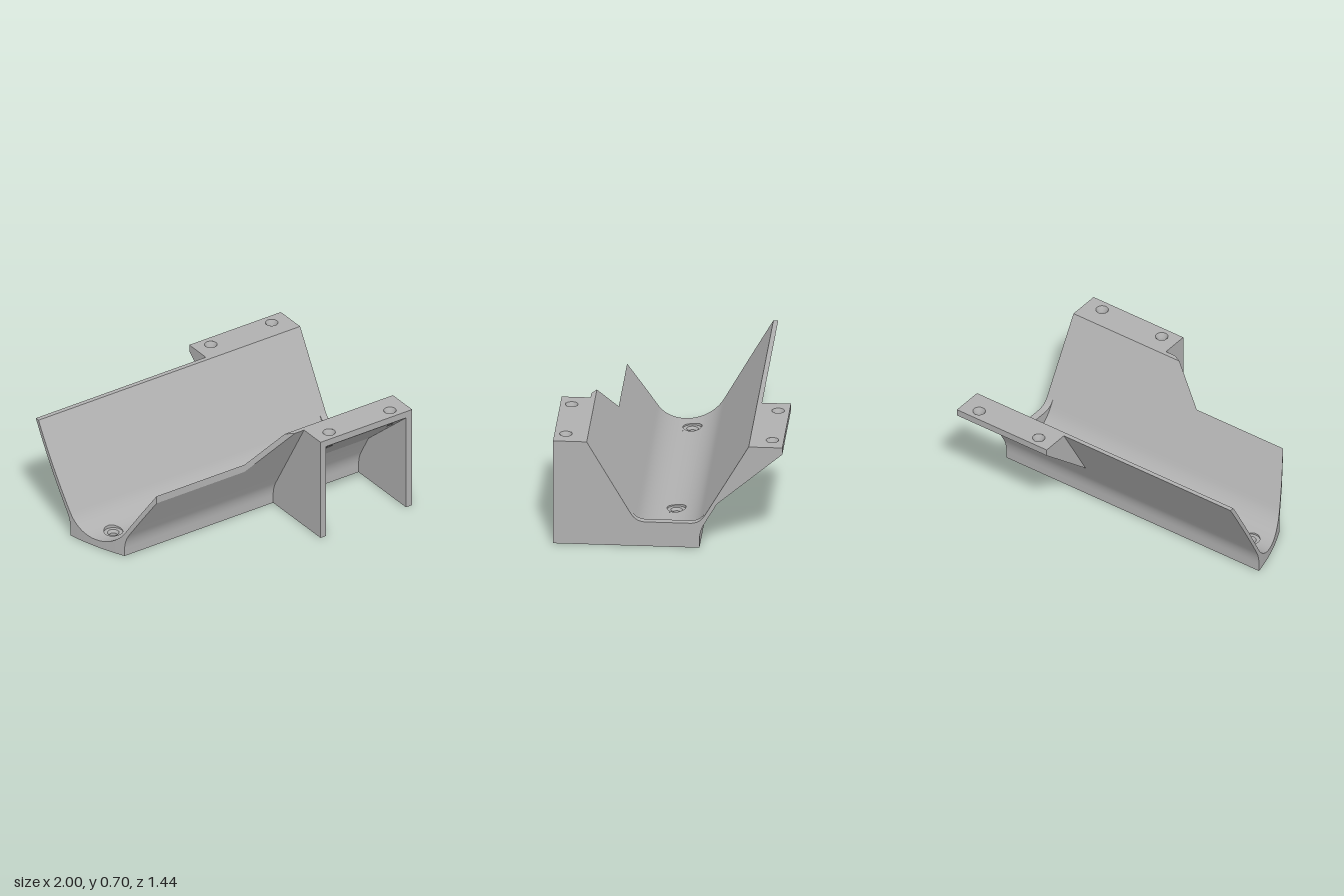
import * as THREE from 'three';
import { toCreasedNormals } from 'three/addons/utils/BufferGeometryUtils.js';

const EPS = 1e-5, SLOPE = Math.sqrt(3);
const grey = new THREE.MeshStandardMaterial({ color: 0xb0b0b0, side: THREE.DoubleSide });
grey.name = 'grey plastic';

// Trough section as heights over z: inner (top) and outer (bottom) surface
function top(z) {
  const a = Math.abs(z);
  if (a <= 0.2018) return 0.283 - Math.sqrt(0.233 ** 2 - a * a);
  return Math.min(0.7, 0.7 - (0.51 - a) * SLOPE);
}
function bottom(z) {
  const a = Math.abs(z);
  if (a <= 0.2) return 0;
  if (a >= 0.23) return Math.min(0.7, 0.7 - (0.54 - a) * SLOPE);
  const t = Math.sqrt((a - 0.2) / 0.03);
  return 0.051 + 0.12 * t - 0.008 * t * t;
}
// Plan outline of the open end: an arc, then the lowered front rim
function startX(z) {
  if (z > 0.39) return -0.05 + (z - 0.39) / 0.15 * 0.28;
  return 0.57 - Math.sqrt(1.57 ** 2 - (z + 0.5) ** 2);
}
// Underside of the flange wedges
const underside = z => 0.302 + (z - 0.31) * 0.353 / 0.412;

// Joins rows of points into a surface; each row is optionally closed
function surface(rows, closed = true) {
  const n = rows[0].length, index = [];
  for (let i = 0; i < rows.length - 1; i++) {
    for (let k = 0; k < (closed ? n : n - 1); k++) {
      const a = i * n + k, b = i * n + (k + 1) % n;
      index.push(a, a + n, b, b, a + n, b + n);
    }
  }
  const g = new THREE.BufferGeometry();
  g.setAttribute('position', new THREE.Float32BufferAttribute(rows.flat(2), 3));
  g.setIndex(index);
  return toCreasedNormals(g, 0.5);
}

function add(group, geometry, name) {
  const mesh = new THREE.Mesh(geometry, grey);
  mesh.name = name;
  group.add(mesh);
  return mesh;
}

// Solid strip of the trough between two x limits
function trough(stations, x0, x1) {
  return surface(stations.map(z => {
    const a = x0(z), b = x1(z), t = top(z), u = bottom(z);
    return [[a, t, z], [b, t, z], [b, u, z], [a, u, z]];
  }));
}

// Surface through concentric rings; each ring is [radius, height, square?]
function drilled(cx, cz, rings) {
  const n = 32;
  return surface(rings.map(([r, y, square]) => {
    const row = [];
    for (let i = 0; i < n; i++) {
      const c = Math.cos(i / n * Math.PI * 2), s = Math.sin(i / n * Math.PI * 2);
      const k = square ? r / Math.max(Math.abs(c), Math.abs(s)) : r;
      const z = cz + k * s;
      row.push([cx + k * c, typeof y === 'function' ? y(z) : y, z]);
    }
    return row.reverse();
  }));
}

// Rectangular sheet over x and z with round holes, lifted to a height rule
function sheet(x0, x1, z0, z1, holes, r, height, faceUp) {
  const shape = new THREE.Shape([[x0, z0], [x1, z0], [x1, z1], [x0, z1]].map(p => new THREE.Vector2(...p)));
  for (const [x, z] of holes) shape.holes.push(new THREE.Path().absarc(x, z, r, 0, Math.PI * 2, true));
  const g = new THREE.ShapeGeometry(shape, 32);
  const p = g.attributes.position;
  for (let i = 0; i < p.count; i++) p.setXYZ(i, p.getX(i), height(p.getY(i)), p.getY(i));
  if (faceUp) g.setIndex([...g.index.array].reverse());
  g.computeVertexNormals();
  return g;
}

// Upright plate from a (z, y) shape between two x positions
function plate(shape, x0, x1) {
  const g = new THREE.ExtrudeGeometry(shape, { depth: x1 - x0, bevelEnabled: false, curveSegments: 10 });
  return g.rotateY(-Math.PI / 2).translate(x1, 0, 0);
}

function flange() {
  const group = new THREE.Group();
  const holes = [[0.415, 0.65], [0.88, 0.65]];
  add(group, sheet(0.3, 1, 0.535, 0.722, holes, 0.04, () => 0.7, true), 'flangeTop');
  add(group, sheet(0.3, 1, 0.31, 0.722, holes, 0.022, underside, false), 'flangeUnderside');
  add(group, new THREE.PlaneGeometry(0.7, 0.045).translate(0.65, 0.6775, 0.722), 'flangeRim');
  const side = new THREE.Shape([[0.54, 0.7], [0.31, 0.302], [0.722, 0.655], [0.722, 0.7]]
    .map(p => new THREE.Vector2(...p)));
  for (const x of [0.3, 1]) {
    const g = new THREE.ShapeGeometry(side);
    g.rotateY(x === 1 ? -Math.PI / 2 : -Math.PI / 2).translate(x, 0, 0);
    if (x === 1) {
      g.setIndex([...g.index.array].reverse());
      g.computeVertexNormals();
    }
    add(group, g, 'flangeSide');
  }
  // Countersunk screw holes
  for (const [x, z] of holes) {
    add(group, drilled(x, z, [[0.04, 0.7], [0.022, 0.665], [0.022, underside]]), 'flangeHole');
  }
  return group;
}

export function createModel() {
  const model = new THREE.Group();
  model.name = 'troughBracket';

  // Stations across the section, denser on the curves
  const half = [0.2, 0.2 + EPS];
  for (let i = 1; i <= 6; i++) half.push(0.2 + 0.03 * (i / 6) ** 2);
  const outer = [...half, 0.3, 0.39, 0.39 + EPS, 0.45, 0.51, 0.54];
  const steps = (a, b, n) => Array.from({ length: n + 1 }, (_, i) => a + (b - a) * i / n);
  const Z0 = -0.083, Z1 = 0.047, HALF = 0.065, HOLES = [-0.77, 0.51], HZ = -0.018;
  const back = [...outer, 0.48, 0.42, 0.35, 0.26].sort((a, b) => b - a).map(z => -z);
  const end = () => 1;

  // Side walls with the outer parts of the floor
  add(model, trough([...back, ...steps(-0.2, Z0, 8).slice(1)], startX, end), 'backWall');
  add(model, trough([...steps(Z1, 0.2, 10).slice(0, -1), ...outer], startX, end), 'frontWall');

  // Middle of the floor, in lengths between the two drilled patches
  const mid = steps(Z0, Z1, 10);
  const cuts = [startX, ...HOLES.flatMap(x => [() => x - HALF, () => x + HALF]), end];
  for (let i = 0; i < cuts.length; i += 2) add(model, trough(mid, cuts[i], cuts[i + 1]), 'floor');
  for (const x of HOLES) {
    add(model, drilled(x, HZ, [
      [HALF, top, true], [0.06, top], [0.06, 0.042], [0.037, 0.042],
      [0.023, 0.025], [0.023, 0], [HALF, 0, true],
    ]), 'floorHole');
  }

  // Raised sill closing the low part of the end
  const sill = new THREE.Shape();
  sill.moveTo(-0.2, 0).lineTo(0.2, 0).lineTo(0.2, 0.1).lineTo(0.232, 0.219);
  sill.quadraticCurveTo(0.201, 0.165, 0.139, 0.165).lineTo(-0.139, 0.165);
  sill.quadraticCurveTo(-0.201, 0.165, -0.232, 0.219).lineTo(-0.2, 0.1);
  add(model, toCreasedNormals(plate(sill, 0.953, 1), 0.5), 'endSill');

  // Two support plates under the front flange
  const support = new THREE.Shape([[0.19, 0], [0.722, 0], [0.722, 0.7], [0.53, 0.7], [0.23, 0.18], [0.19, 0.1]]
    .map(p => new THREE.Vector2(...p)));
  for (const [a, b] of [[0.3, 0.343], [0.953, 1]]) add(model, plate(support, a, b), 'supportPlate');

  // Screw flanges, mirrored front and back
  const front = flange(), rear = flange();
  front.name = 'frontFlange';
  rear.name = 'backFlange';
  rear.scale.z = -1;
  model.add(front, rear);
  return model;
}
